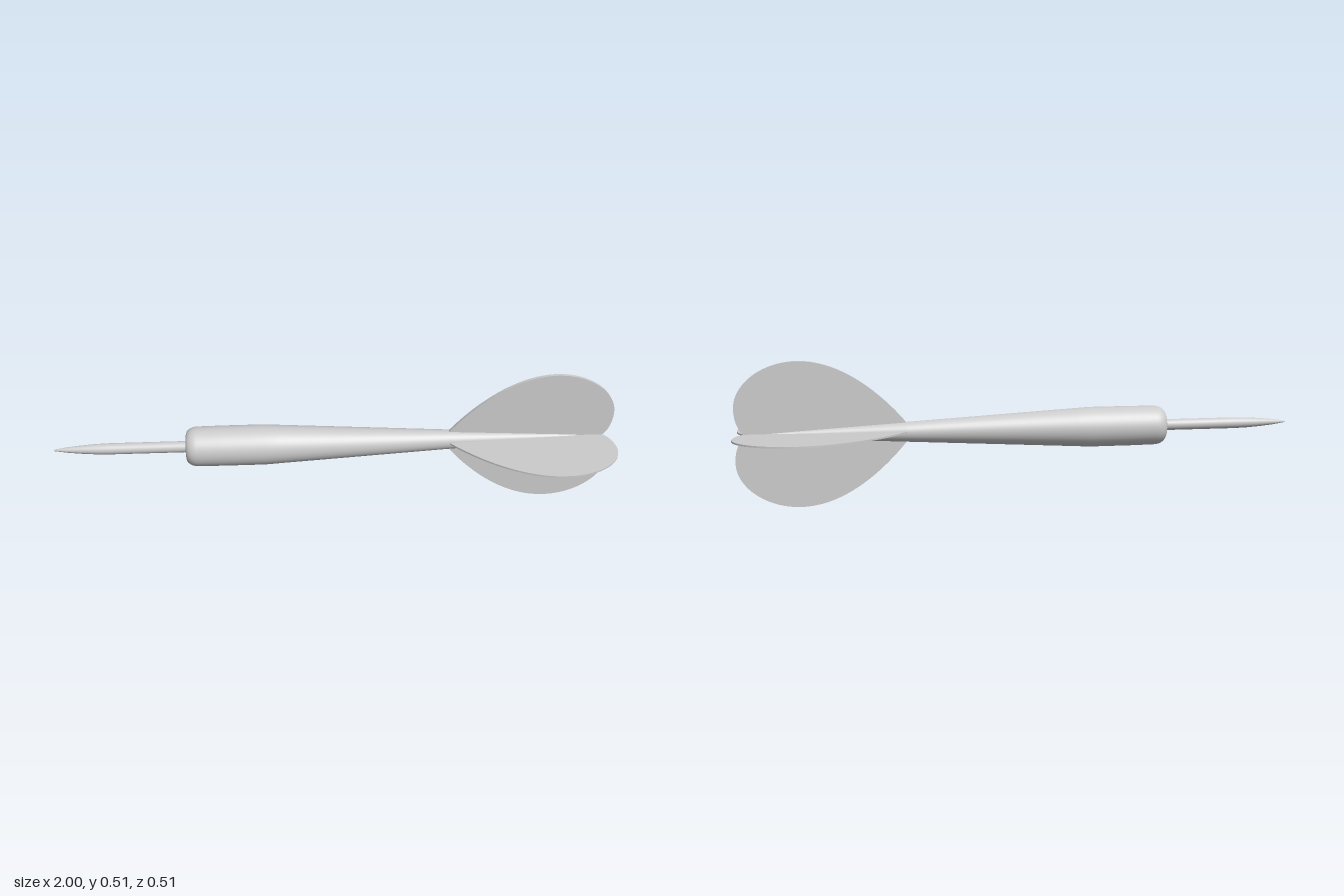
import * as THREE from 'three';

const AXIS_Y = 0.257;

export function createModel() {
  const model = new THREE.Group();
  const material = new THREE.MeshStandardMaterial({ color: 0xcccccc });

  // Turned part along x, from [x, radius] pairs
  function turned(name, profile) {
    const points = profile.map(([x, r]) => new THREE.Vector2(r, x));
    const geometry = new THREE.LatheGeometry(points, 40);
    geometry.rotateZ(-Math.PI / 2);
    const mesh = new THREE.Mesh(geometry, material);
    mesh.name = name;
    mesh.position.y = AXIS_Y;
    model.add(mesh);
  }

  // Needle with a long ogive tip
  turned('needle', [
    [-1, 0], [-0.997, 0.003], [-0.95, 0.01], [-0.9, 0.015],
    [-0.85, 0.0185], [-0.8, 0.02], [-0.52, 0.02],
  ]);

  // Barrel with rounded nose, tapering into the tail shaft
  const barrel = [[-0.53, 0], [-0.53, 0.045]];
  for (let i = 0; i <= 8; i++) {
    const a = (i / 8) * Math.PI / 2;
    barrel.push([-0.49 - 0.04 * Math.cos(a), 0.045 + 0.026 * Math.sin(a)]);
  }
  barrel.push([-0.4, 0.072], [-0.25, 0.072], [-0.2, 0.069], [0.41, 0.035], [0.97, 0.004], [0.97, 0]);
  turned('barrelAndShaft', barrel);

  // Four teardrop fins around the shaft; the horizontal pair is thinner
  const outline = new THREE.Shape();
  outline.moveTo(0.41, 0);
  outline.lineTo(0.41, 0.034);
  outline.bezierCurveTo(0.48, 0.12, 0.62, 0.257, 0.78, 0.257);
  outline.bezierCurveTo(0.9, 0.257, 1, 0.18, 1, 0.095);
  outline.bezierCurveTo(1, 0.05, 0.985, 0.015, 0.962, 0);
  outline.closePath();
  const names = ['topFin', 'frontFin', 'bottomFin', 'backFin'];
  names.forEach((name, k) => {
    const thickness = k % 2 ? 0.006 : 0.012;
    const geometry = new THREE.ExtrudeGeometry(outline, {
      depth: thickness, bevelEnabled: false, curveSegments: 20,
    });
    geometry.translate(0, 0, -thickness / 2);
    const fin = new THREE.Mesh(geometry, material);
    fin.name = name;
    fin.position.y = AXIS_Y + (k % 2 ? 0.003 : 0);
    fin.rotation.x = k * Math.PI / 2;
    model.add(fin);
  });

  return model;
}
